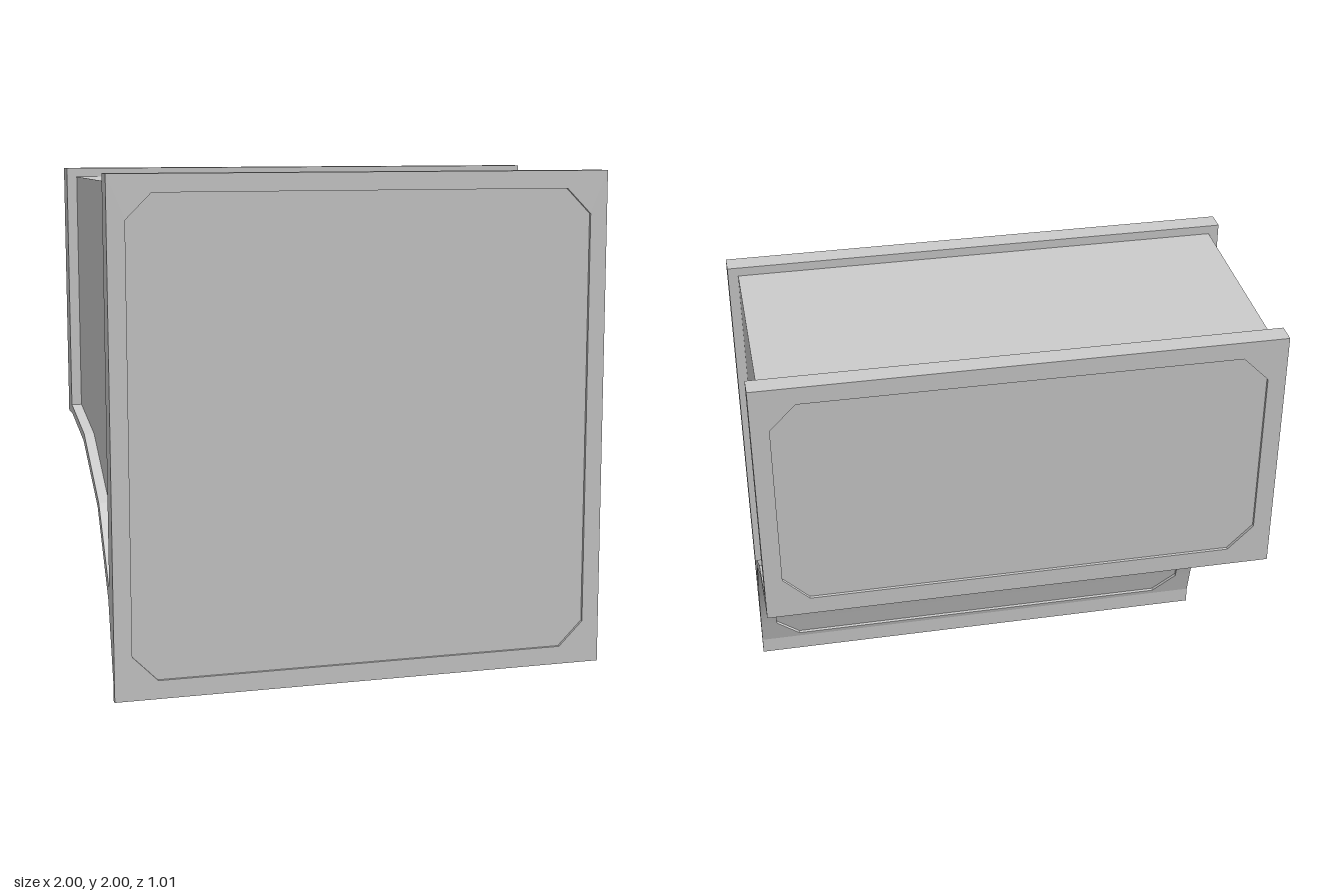
import * as THREE from 'three';
import { toCreasedNormals } from 'three/addons/utils/BufferGeometryUtils.js';

const RECESS = 0.012;   // depth of the sunken panels
const SKIN = 0.015;     // thickness of the skin on the curved underside
const FACE = 0.505;     // half depth of the model

export function createModel() {
  const group = new THREE.Group();
  const material = new THREE.MeshStandardMaterial({ color: 0xcccccc });
  const add = (geometry, name) => {
    const mesh = new THREE.Mesh(geometry, material);
    mesh.name = name;
    group.add(mesh);
    return mesh;
  };
  const toShape = (points) => new THREE.Shape(points.map(([a, b]) => new THREE.Vector2(a, b)));

  // Extrudes a (z, y) side profile across the width
  const acrossWidth = (points, halfWidth) =>
    new THREE.ExtrudeGeometry(toShape(points), { depth: 2 * halfWidth, bevelEnabled: false })
      .translate(0, 0, -halfWidth)
      .rotateY(-Math.PI / 2);

  // Underside curve as (z, y), from the foot to the back edge
  const curve = [[0.48, 0.07], [0.475, 0.09], [0.452, 0.18], [0.4, 0.38],
    [0.19, 0.7], [-0.13, 0.91], [-0.42, 0.98]];
  const inward = curve.map((p, i) => {
    const a = curve[Math.max(i - 1, 0)];
    const b = curve[Math.min(i + 1, curve.length - 1)];
    return new THREE.Vector2(b[1] - a[1], a[0] - b[0]).normalize();
  });
  const offset = (i, d) => [curve[i][0] + inward[i].x * d, curve[i][1] + inward[i].y * d];

  // Full-width shell: front flange, curved strip and back flange
  const front = FACE - RECESS;
  add(acrossWidth([
    [front, 0], [0.48, 0], curve[0],
    ...[1, 2, 3, 4, 5].map((i) => offset(i, SKIN)), [-0.42, 0.98 + SKIN],
    [-0.42, 0.98], [-front, 0.98], [-front, 2], [-0.425, 2],
    [-0.425, 1.015], [-0.11, 0.94], [0.22, 0.72], [0.425, 0.42], [0.425, 2], [front, 2],
  ], 1), 'flangeShell');

  // Slightly narrower core between the flanges
  add(acrossWidth([
    [0.43, 0.415], [0.22, 0.72], [-0.11, 0.94], [-0.43, 1.015], [-0.43, 1.965], [0.43, 1.965],
  ], 0.96), 'core');

  // Flat frames with a chamfered opening around the front and back panels
  const addFrame = (bottom, name) => {
    const shape = toShape([[-1, bottom], [1, bottom], [1, 2], [-1, 2]]);
    const w = 0.93, c = 0.1, lo = bottom + 0.073, hi = 1.93;
    shape.holes.push(toShape([
      [-w + c, lo], [-w, lo + c], [-w, hi - c], [-w + c, hi],
      [w - c, hi], [w, hi - c], [w, lo + c], [w - c, lo],
    ]));
    return add(new THREE.ExtrudeGeometry(shape, { depth: RECESS, bevelEnabled: false }), name);
  };
  addFrame(0, 'frontFrame').position.z = front;
  addFrame(0.98, 'backFrame').position.z = -FACE;

  // Curved underside: rows of [curve point, panel half width, panel depth]
  const rows = [[0, 0.83, 0], [1, 0.83, 0], [1, 0.83, RECESS], [2, 0.93, RECESS],
    [3, 0.93, RECESS], [4, 0.93, RECESS], [5, 0.93, RECESS], [6, 0.93, RECESS], [6, 0.93, 0]];
  const positions = [];
  const indices = [];
  rows.forEach(([i, w, depth], r) => {
    const section = [[1, SKIN], [1, 0], [w, 0], [w, depth], [-w, depth], [-w, 0], [-1, 0], [-1, SKIN]];
    section.forEach(([x, d], k) => {
      const [z, y] = offset(i, d);
      positions.push(x, y, z);
      if (r === 0 || k === 0) return;
      const n = r * 8 + k;
      indices.push(n - 9, n - 8, n, n - 9, n, n - 1);
    });
  });
  const underside = new THREE.BufferGeometry();
  underside.setAttribute('position', new THREE.Float32BufferAttribute(positions, 3));
  underside.setIndex(indices);
  add(toCreasedNormals(underside, 0.6), 'curvedUnderside');

  return group;
}
